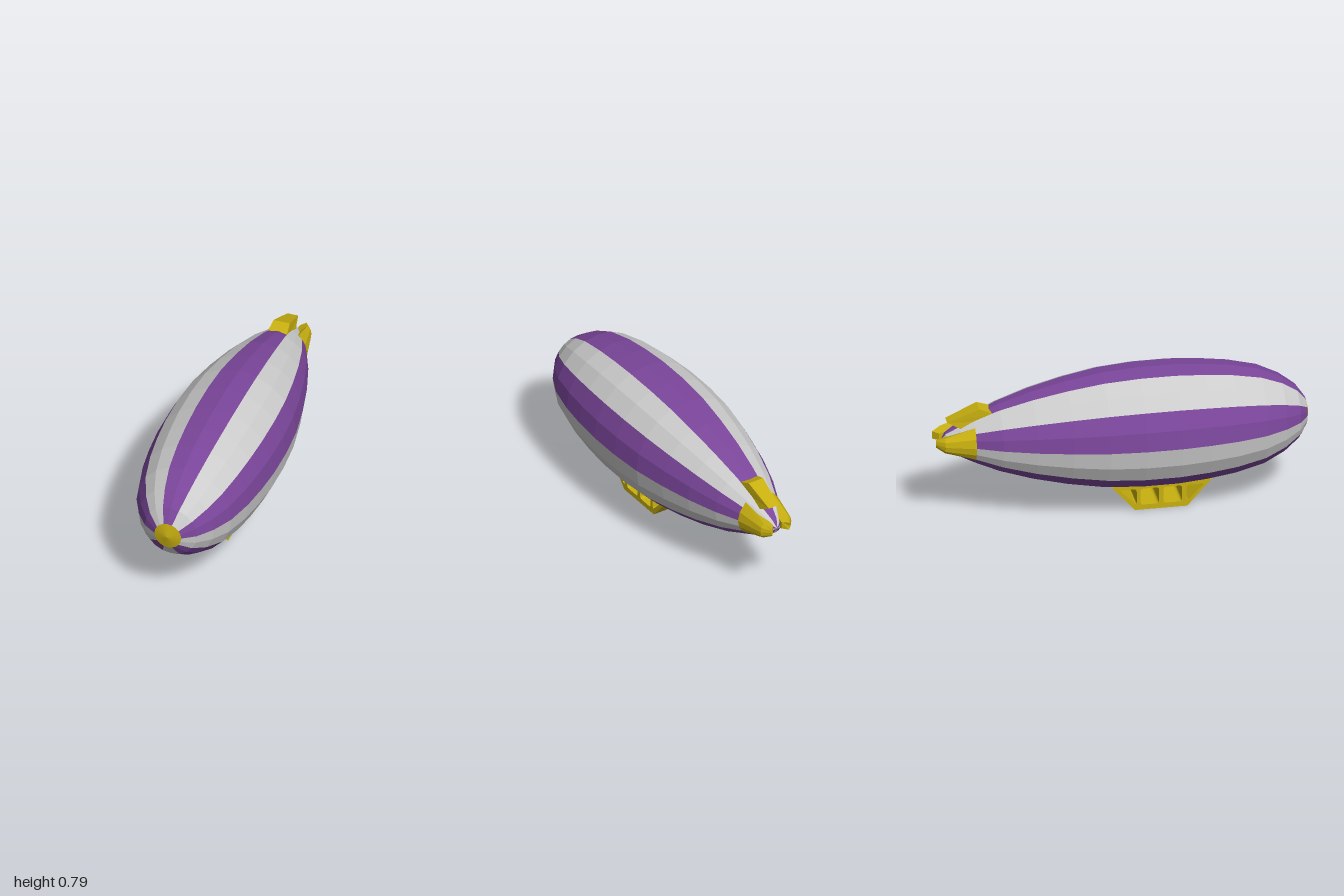
import * as THREE from 'three';

const CY = 0.455; // height of the hull axis
const mat = (color) => new THREE.MeshStandardMaterial({ color, flatShading: true });
const grey = mat(0xcccccc), purple = mat(0x7b469b), yellow = mat(0xc8b010);

function add(parent, name, geometry, material) {
  const mesh = new THREE.Mesh(geometry, material);
  mesh.name = name;
  parent.add(mesh);
  return mesh;
}

// Solid skinned over closed loops of [x, y, z], capped at both ends
function loft(loops) {
  const n = loops[0].length, index = [], last = (loops.length - 1) * n;
  for (let i = 0; i < loops.length - 1; i++) {
    for (let j = 0; j < n; j++) {
      const a = i * n + j, b = i * n + (j + 1) % n;
      index.push(a, b, b + n, a, b + n, a + n);
    }
  }
  for (let j = 1; j < n - 1; j++) {
    index.push(0, j + 1, j, last, last + j, last + j + 1);
  }
  const g = new THREE.BufferGeometry();
  g.setAttribute('position', new THREE.Float32BufferAttribute(loops.flat(2), 3));
  g.setIndex(index);
  g.computeVertexNormals();
  return g;
}

// Closed outline with rounded corners
function rounded(points, r, Type) {
  const path = new Type();
  const v = points.map(([x, y]) => new THREE.Vector2(x, y));
  v.forEach((p, i) => {
    const toward = (q) => p.clone().add(q.clone().sub(p).setLength(r));
    const a = toward(v[(i + v.length - 1) % v.length]);
    const b = toward(v[(i + 1) % v.length]);
    if (i) path.lineTo(a.x, a.y); else path.moveTo(a.x, a.y);
    path.quadraticCurveTo(p.x, p.y, b.x, b.y);
  });
  path.closePath();
  return path;
}

// Gondola: trapezoid frame with windows right through, front slope left open
function gondolaGeometry() {
  const shape = new THREE.Shape(
    [[0.335, 0], [0.465, 0.145], [-0.07, 0.145], [0.055, 0]].map(([z, y]) => new THREE.Vector2(z, y)));
  const lo = 0.028, hi = 0.122;
  const windows = [
    [[0.425, hi], [0.332, hi], [0.332, lo]],
    [[0.308, lo], [0.308, hi], [0.208, hi], [0.208, lo]],
    [[0.185, lo], [0.185, hi], [0.085, hi], [0.085, lo]],
    [[0.065, lo], [0.065, hi], [-0.027, hi]],
  ];
  shape.holes = windows.map((w) => rounded(w, 0.016, THREE.Path));
  const g = new THREE.ExtrudeGeometry(shape, { depth: 0.2, bevelEnabled: false, curveSegments: 4 });
  g.rotateY(-Math.PI / 2).translate(0.1, 0, 0);

  const src = g.attributes.position, kept = [];
  const onSlope = (i) => Math.abs(src.getZ(i) - 0.335 - src.getY(i) * 0.13 / 0.145) < 1e-4;
  for (let i = 0; i < src.count; i += 3) {
    if (onSlope(i) && onSlope(i + 1) && onSlope(i + 2)) continue;
    for (let k = i; k < i + 3; k++) kept.push(src.getX(k), src.getY(k), src.getZ(k));
  }
  const open = new THREE.BufferGeometry();
  open.setAttribute('position', new THREE.Float32BufferAttribute(kept, 3));
  open.computeVertexNormals();
  return open;
}

export function createModel() {
  const model = new THREE.Group();
  model.name = 'airship';

  // Hull: ten lengthwise stripes, two facets each, from tail to nose [radius, z]
  const profile = [
    [0, -0.97], [0.045, -0.94], [0.09, -0.87], [0.128, -0.795], [0.187, -0.66], [0.243, -0.485],
    [0.287, -0.3], [0.32, -0.11], [0.334, 0.08], [0.334, 0.27], [0.322, 0.43], [0.302, 0.58],
    [0.265, 0.735], [0.21, 0.85], [0.145, 0.935], [0.075, 0.983],
  ].map(([r, z]) => new THREE.Vector2(r, z));
  const hull = new THREE.Group();
  hull.name = 'hull';
  hull.position.y = CY;
  model.add(hull);
  const step = Math.PI / 5;
  for (let k = 0; k < 10; k++) {
    const g = new THREE.LatheGeometry(profile, 2, (k - 0.5) * step, step).rotateX(Math.PI / 2);
    add(hull, 'hullStripe', g, k % 2 ? purple : grey);
  }

  // Nose cap
  const nose = new THREE.ConeGeometry(0.075, 0.017, 20, 1, true).rotateX(Math.PI / 2);
  add(hull, 'noseCap', nose, yellow).position.z = 0.9915;

  // Top fin: tapered wedge, [half width, y, z]
  const wedge = [
    [0.03, 0.573, -0.935], [0.045, 0.643, -0.765], [0.053, 0.617, -0.7],
    [0.053, 0.57, -0.7], [0.042, 0.535, -0.865],
  ];
  add(model, 'topFin', loft([-1, 1].map((s) => wedge.map(([w, y, z]) => [s * w, y, z]))), yellow);

  // Side fins: curved shells flush with the hull in front, converging to a thin rear edge
  const sections = [
    [[0.085, 0.1, -0.795], [0.122, 0.05, -0.795], [0.133, 0, -0.795], [0.127, -0.04, -0.795],
      [0.107, -0.075, -0.795], [0.04, -0.06, -0.795], [0.04, 0.07, -0.795]],
    [[0.076, 0.05, -0.955], [0.092, 0.03, -0.955], [0.097, 0.005, -0.955], [0.094, -0.02, -0.955],
      [0.08, -0.035, -0.955], [0.03, -0.025, -0.92], [0.03, 0.04, -0.92]],
    [[0.053, 0.033, -1], [0.058, 0.023, -1], [0.06, 0.01, -1], [0.058, 0, -1],
      [0.053, -0.01, -1], [0.026, -0.01, -0.968], [0.026, 0.03, -0.968]],
  ];
  for (const s of [1, -1]) {
    const loops = sections.map((loop) => {
      const out = loop.map(([x, y, z]) => [s * x, y + CY, z]);
      return s > 0 ? out : out.reverse();
    });
    add(model, s > 0 ? 'leftFin' : 'rightFin', loft(loops), yellow);
  }

  add(model, 'gondola', gondolaGeometry(), yellow);
  return model;
}
